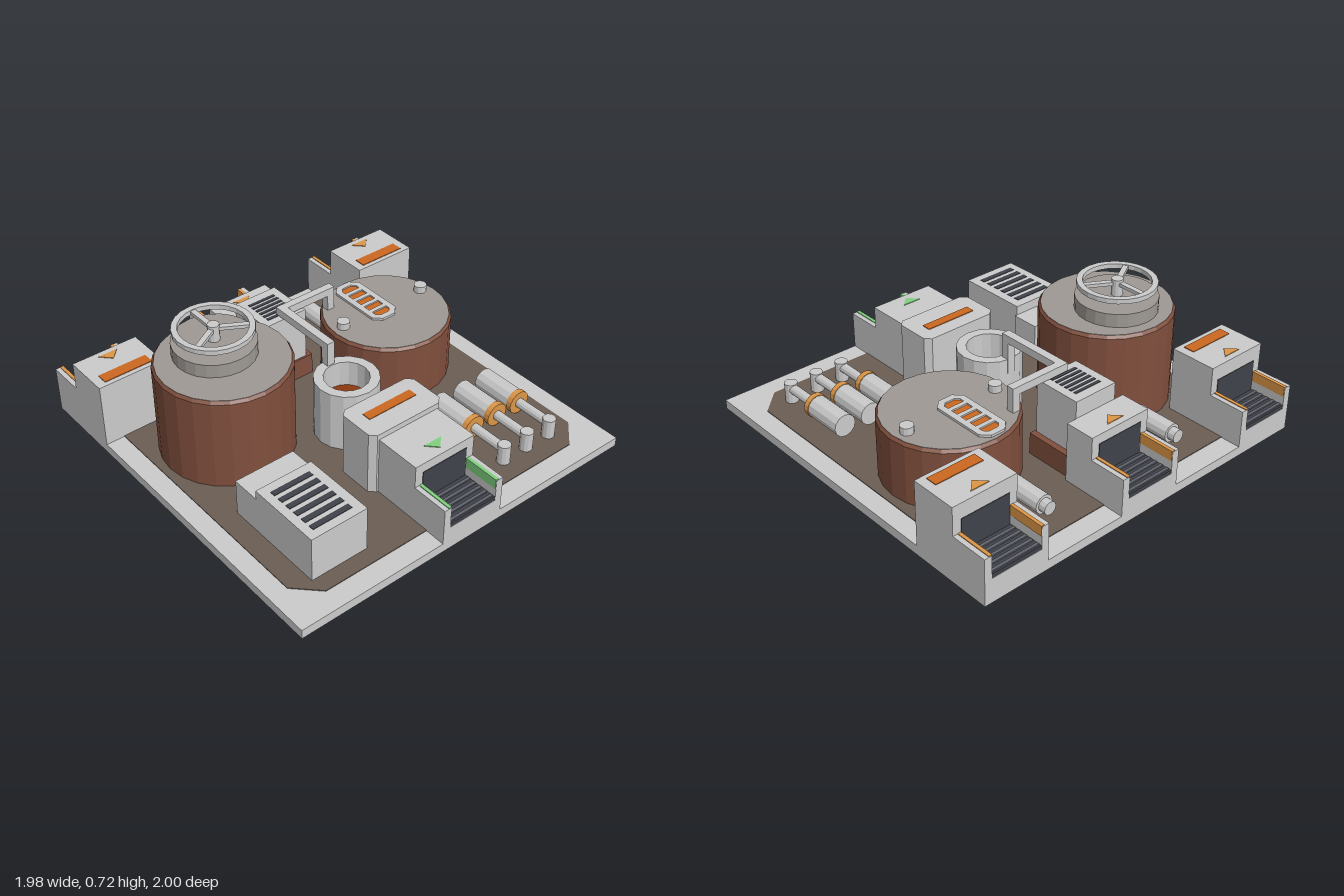
import * as THREE from 'three';

const mat = (color) => new THREE.MeshStandardMaterial({ color, flatShading: true });
const GREY = mat(0xcccccc), FLOOR = mat(0x6a5d54), BROWN = mat(0x804f3d), LID = mat(0x9e9994);
const ORANGE = mat(0xcc6820), AMBER = mat(0xdd9648), GREEN = mat(0x80d080), DARK = mat(0x40424a);
const SLAT = mat(0x62646e), MOLTEN = mat(0x8c3a10);

function add(parent, name, geometry, material, x = 0, y = 0, z = 0) {
  const mesh = new THREE.Mesh(geometry, material);
  mesh.name = name;
  mesh.position.set(x, y, z);
  parent.add(mesh);
  return mesh;
}

function group(parent, name, x = 0, y = 0, z = 0) {
  const g = new THREE.Group();
  g.name = name;
  g.position.set(x, y, z);
  parent.add(g);
  return g;
}

// box given by its limits on each axis
function box(parent, name, material, x0, x1, y0, y1, z0, z1) {
  return add(parent, name, new THREE.BoxGeometry(x1 - x0, y1 - y0, z1 - z0), material,
    (x0 + x1) / 2, (y0 + y1) / 2, (z0 + z1) / 2);
}

// upright cylinder from y0 to y1
function post(parent, name, material, r, y0, y1, x = 0, z = 0, sides = 12) {
  return add(parent, name, new THREE.CylinderGeometry(r, r, y1 - y0, sides), material, x, (y0 + y1) / 2, z);
}

// cylinder lying along z
function rod(parent, name, material, r, z0, z1, x, y, sides = 12) {
  const m = add(parent, name, new THREE.CylinderGeometry(r, r, z1 - z0, sides), material, x, y, (z0 + z1) / 2);
  m.rotation.x = Math.PI / 2;
  return m;
}

// flat outline of [x, z] points raised from y0 to y1, with optional hole
function slab(parent, name, material, points, y0, y1, hole) {
  const toV = ([x, z]) => new THREE.Vector2(x, -z);
  const shape = new THREE.Shape(points.map(toV));
  if (hole) shape.holes.push(new THREE.Path(hole.map(toV)));
  const g = new THREE.ExtrudeGeometry(shape, { depth: y1 - y0, bevelEnabled: false });
  g.rotateX(-Math.PI / 2);
  return add(parent, name, g, material, 0, y0, 0);
}

// rectangle with cut corners
const cutRect = (x, z, c) => [[-x, -z + c], [-x, z - c], [-x + c, z], [x - c, z],
  [x, z - c], [x, -z + c], [x - c, -z], [-x + c, -z]];

function grille(parent, x0, x1, z0, z1, y, count) {
  const pitch = (z1 - z0) / (count - 0.45);
  for (let i = 0; i < count; i++) {
    const z = z0 + i * pitch;
    box(parent, 'grilleSlot', DARK, x0, x1, y - 0.01, y + 0.003, z, z + pitch * 0.55);
  }
}

// conveyor port; its belt runs out along local +z from the housing
function port(parent, name, x, turn, depth, height, accent, arrowDir) {
  const g = group(parent, name, x);
  g.rotation.y = turn;
  box(g, 'housing', GREY, -0.18, 0.18, 0.05, height, 0.8 - depth, 0.8);
  box(g, 'opening', DARK, -0.135, 0.135, 0.15, 0.32, 0.78, 0.803);
  box(g, 'beltBed', GREY, -0.14, 0.14, 0.05, 0.13, 0.8, 1);
  box(g, 'belt', DARK, -0.14, 0.14, 0.13, 0.15, 0.8, 0.998);
  for (let i = 0; i < 5; i++) {
    const z = 0.825 + i * 0.037;
    box(g, 'beltSlat', SLAT, -0.135, 0.135, 0.15, 0.157, z, z + 0.016);
  }
  for (const s of [-1, 1]) {
    const arm = box(g, 'sideRail', GREY, -0.02, 0.02, 0.05, 0.25, 0.8, 1);
    arm.position.x = s * 0.16;
    const strip = box(g, 'railStrip', accent, -0.009, 0.009, 0.2, 0.254, 0.802, 0.998);
    strip.position.x = s * 0.146;
  }
  const d = arrowDir * 0.027;
  const arrow = [[-0.052, 0.74 - d], [0, 0.74 + d], [0.052, 0.74 - d]];
  slab(g, 'flowArrow', accent, arrow, height, height + 0.004);
  return g;
}

// brown drum with a rounded shoulder and a pale lid
function tank(parent, name, x, z, top) {
  const g = group(parent, name, x, 0, z);
  const profile = [[0.34, 0.05], [0.34, top - 0.015], [0.328, top]].map((p) => new THREE.Vector2(...p));
  add(g, 'shell', new THREE.LatheGeometry(profile, 24), BROWN);
  post(g, 'lid', LID, 0.328, top - 0.02, top + 0.002, 0, 0, 24);
  return g;
}

export function createModel() {
  const root = new THREE.Group();
  root.name = 'foundry';

  // base and floor
  box(root, 'base', GREY, -0.99, 0.99, 0, 0.05, -1, 1);
  slab(root, 'floor', FLOOR, [[-0.89, -0.89], [-0.89, 0.77], [-0.77, 0.89], [0.77, 0.89],
    [0.89, 0.77], [0.89, -0.89]], 0.045, 0.054);

  // conveyor ports
  for (const x of [-0.81, 0.81]) {
    const g = port(root, 'rearSidePort', x, Math.PI, 0.25, 0.4, AMBER, -1);
    box(g, 'marker', ORANGE, -0.133, 0.133, 0.39, 0.404, 0.575, 0.637);
  }
  port(root, 'rearCentrePort', 0, Math.PI, 0.16, 0.37, AMBER, -1);
  port(root, 'frontPort', 0, 0, 0.26, 0.37, GREEN, 1);

  // casting block behind the front port
  const caster = group(root, 'castingBlock', 0, 0, 0.43);
  slab(caster, 'body', GREY, cutRect(0.22, 0.12, 0.03), 0.05, 0.4);
  box(caster, 'marker', ORANGE, -0.145, 0.145, 0.39, 0.404, -0.04, 0.01);

  // tall tank with neck and handwheel
  const tall = tank(root, 'tallTank', -0.51, -0.2, 0.56);
  const neck = group(tall, 'neck', 0, 0, -0.065);
  post(neck, 'neckDrum', LID, 0.208, 0.55, 0.633, 0, 0, 24);
  post(neck, 'wheelShaft', GREY, 0.03, 0.62, 0.72, 0, 0);
  const rim = [[0.17, 0.685], [0.2, 0.685], [0.2, 0.71], [0.17, 0.71], [0.17, 0.685]];
  add(neck, 'wheelRim', new THREE.LatheGeometry(rim.map((p) => new THREE.Vector2(...p)), 24), GREY);
  for (let i = 0; i < 3; i++) {
    const pivot = group(neck, 'wheelSpoke');
    pivot.rotation.y = i * Math.PI * 2 / 3;
    box(pivot, 'spokeBar', GREY, -0.014, 0.014, 0.688, 0.706, -0.18, -0.01);
  }

  // short tank with glowing sight window and two plugs
  const short = tank(root, 'shortTank', 0.51, -0.2, 0.38);
  const sight = group(short, 'sightWindow', -0.03, 0, -0.125);
  slab(sight, 'frame', GREY, cutRect(0.08, 0.185, 0.04), 0.375, 0.395, cutRect(0.047, 0.153, 0.02));
  slab(sight, 'glow', ORANGE, cutRect(0.05, 0.155, 0.02), 0.375, 0.387);
  for (let i = 0; i < 4; i++) {
    const z = -0.096 + i * 0.064;
    box(sight, 'bar', GREY, -0.05, 0.05, 0.38, 0.395, z - 0.012, z + 0.012);
  }
  for (const x of [-0.262, 0.262]) post(short, 'plug', GREY, 0.034, 0.37, 0.42, x, -0.025);

  // crucible with molten fill
  const crucible = group(root, 'crucible', 0, 0, 0.1);
  const wall = [[0.165, 0.05], [0.165, 0.38], [0.115, 0.38], [0.115, 0.2]];
  add(crucible, 'wall', new THREE.LatheGeometry(wall.map((p) => new THREE.Vector2(...p)), 16), GREY);
  post(crucible, 'moltenFill', MOLTEN, 0.117, 0.18, 0.24, 0, 0, 16);

  // transfer pipe from crucible to short tank
  const pipe = group(root, 'transferPipe');
  box(pipe, 'riser', GREY, -0.022, 0.022, 0.3, 0.512, -0.065, -0.02);
  box(pipe, 'run', GREY, -0.022, 0.022, 0.47, 0.512, -0.43, -0.065);
  box(pipe, 'crossRun', GREY, 0.022, 0.32, 0.47, 0.512, -0.43, -0.388);
  box(pipe, 'drop', GREY, 0.278, 0.32, 0.37, 0.47, -0.43, -0.388);

  // vent tower behind the crucible
  const vent = group(root, 'ventTower');
  box(vent, 'tower', GREY, -0.125, 0.125, 0.05, 0.46, -0.64, -0.38);
  box(vent, 'plinth', BROWN, -0.158, 0.158, 0.05, 0.17, -0.65, -0.37);
  grille(vent, -0.08, 0.08, -0.59, -0.42, 0.46, 6);

  // cooling unit
  const cooler = group(root, 'coolingUnit');
  box(cooler, 'cabinet', GREY, -0.78, -0.465, 0.05, 0.3, 0.405, 0.805);
  box(cooler, 'rearCabinet', GREY, -0.78, -0.45, 0.05, 0.25, 0.25, 0.405);
  grille(cooler, -0.735, -0.515, 0.455, 0.76, 0.3, 6);

  // front row of rams
  for (const x of [0.43, 0.585, 0.74]) {
    const ram = group(root, 'ram', x);
    rod(ram, 'barrel', GREY, 0.06, 0.31, 0.54, 0, 0.13);
    rod(ram, 'collar', AMBER, 0.063, 0.535, 0.565, 0, 0.13, 16);
    rod(ram, 'plunger', GREY, 0.026, 0.56, 0.77, 0, 0.13);
    post(ram, 'stand', GREY, 0.034, 0.05, 0.16, 0, 0.77);
  }

  // rear cylinders
  for (const x of [-0.4, 0.44]) {
    const bottle = group(root, 'rearCylinder', x);
    rod(bottle, 'barrel', GREY, 0.05, -0.77, -0.55, 0, 0.12);
    rod(bottle, 'nozzle', GREY, 0.035, -0.81, -0.77, 0, 0.12);
  }
  return root;
}
